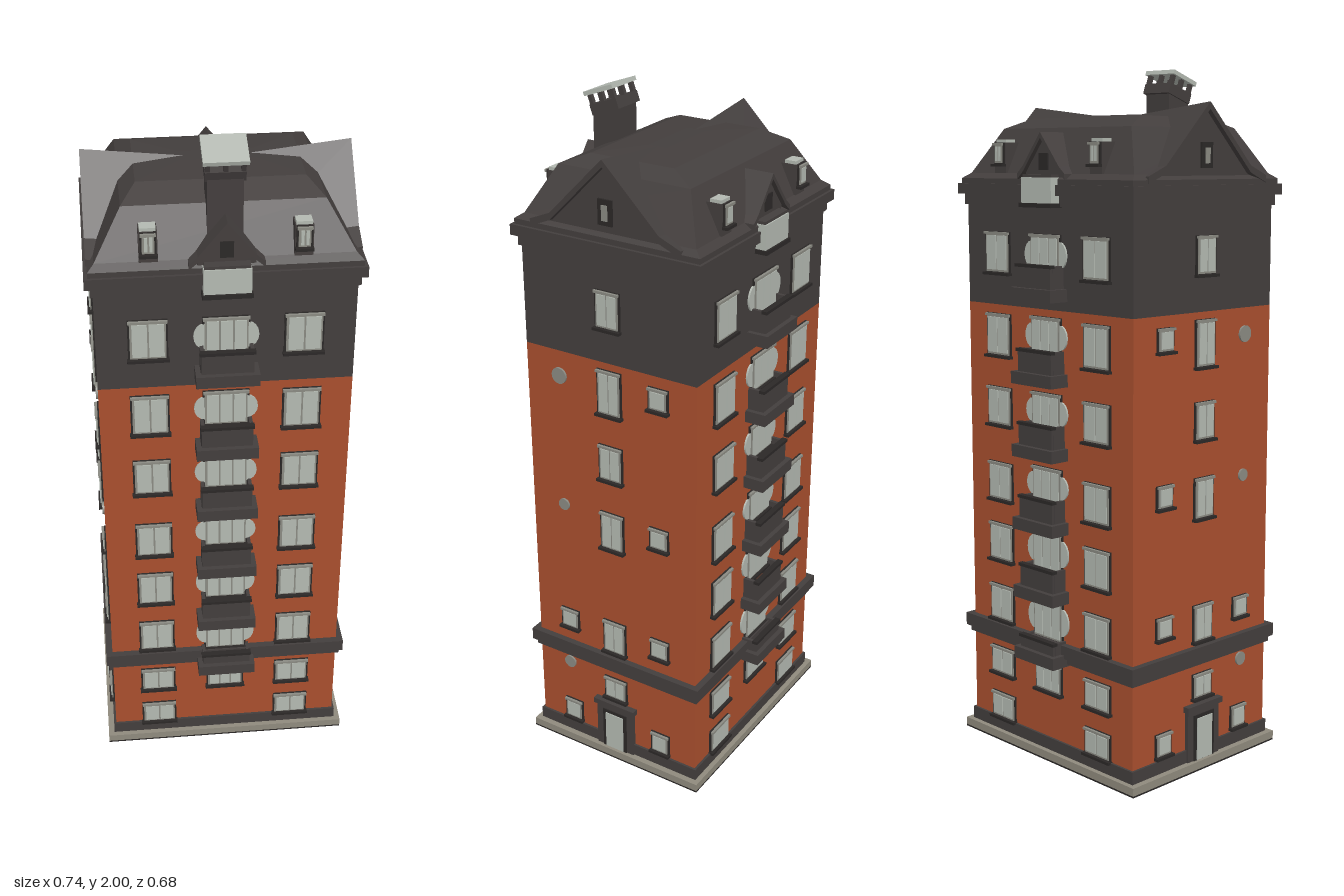
import * as THREE from 'three';

const mat = (name, color, side = THREE.FrontSide) => {
  const m = new THREE.MeshStandardMaterial({ color, side });
  m.name = name;
  return m;
};

export function createModel() {
  const brick = mat('brick', 0xa94f2e);
  const dark = mat('dark slate', 0x433e3d);
  const ink = mat('shadow trim', 0x2b2827);
  const glass = mat('pale glass', 0xb3b9b1);
  const stone = mat('base stone', 0x8f8a7d);
  const frame = mat('window frame', 0x8a8a82);

  const root = new THREE.Group();
  root.name = 'apartmentTower';

  const add = (parent, name, geo, material, x = 0, y = 0, z = 0) => {
    const m = new THREE.Mesh(geo, material);
    m.name = name;
    m.position.set(x, y, z);
    parent.add(m);
    return m;
  };
  // Box given by its x, y and z ranges
  const box = (parent, name, material, x0, x1, y0, y1, z0, z1) =>
    add(parent, name, new THREE.BoxGeometry(x1 - x0, y1 - y0, z1 - z0), material,
      (x0 + x1) / 2, (y0 + y1) / 2, (z0 + z1) / 2);
  // Centred storey block: half width, half depth, y range
  const block = (name, material, hx, hz, y0, y1) =>
    box(root, name, material, -hx, hx, y0, y1, -hz, hz);

  // Loft through rectangular rings [halfX, halfZ, y], capped on top
  const loft = (rings) => {
    const pos = [];
    const ring = ([x, z, y]) => [[x, y, z], [x, y, -z], [-x, y, -z], [-x, y, z]];
    const quad = (a, b, c, d) => pos.push(...a, ...b, ...c, ...a, ...c, ...d);
    for (let i = 0; i + 1 < rings.length; i++) {
      const a = ring(rings[i]), b = ring(rings[i + 1]);
      for (let k = 0; k < 4; k++) {
        const n = (k + 1) % 4;
        quad(a[k], a[n], b[n], b[k]);
      }
    }
    quad(...ring(rings[rings.length - 1]));
    const g = new THREE.BufferGeometry();
    g.setAttribute('position', new THREE.Float32BufferAttribute(pos, 3));
    g.computeVertexNormals();
    return g;
  };

  const extrude = (pts, z0, z1) => {
    const shape = new THREE.Shape(pts.map(([x, y]) => new THREE.Vector2(x, y)));
    const g = new THREE.ExtrudeGeometry(shape, { depth: z1 - z0, bevelEnabled: false });
    return g.translate(0, 0, z0);
  };

  // Symmetric outline from its right half, listed bottom to peak
  const mirrored = (half) => [...half, ...half.slice(0, -1).reverse().map(([x, y]) => [-x, y])];

  // Bargeboard strip following the same half outline
  const strip = (half, t) => {
    const top = mirrored(half);
    return [...top, ...top.slice().reverse().map(([x, y]) => [x, y - t])];
  };

  // Storeys, plinth, string course and cornice
  const HX = 0.343, HZ = 0.277;
  block('baseUnderside', ink, 0.368, 0.299, 0, 0.005);
  block('baseSlab', stone, 0.368, 0.299, 0.005, 0.028);
  block('plinth', dark, 0.35, 0.284, 0.028, 0.065);
  block('brickWalls', brick, HX, HZ, 0.065, 1.325);
  block('upperWalls', dark, HX, HZ, 1.325, 1.63);
  block('stringCourseLower', dark, 0.352, 0.287, 0.312, 0.33);
  block('stringCourseUpper', dark, 0.362, 0.297, 0.33, 0.368);
  block('corniceLower', dark, 0.35, 0.284, 1.61, 1.64);
  block('corniceUpper', dark, 0.364, 0.298, 1.64, 1.67);
  block('corniceCap', dark, 0.354, 0.29, 1.67, 1.685);

  // Hipped mansard roof
  add(root, 'mansardRoof', loft([
    [0.354, 0.29, 1.685], [0.336, 0.268, 1.7], [0.262, 0.205, 1.825],
    [0.22, 0.13, 1.855], [0.1, 0.03, 1.862],
  ]), dark);

  // Window: dark surround, pale panes, mullions and sill; w is half width
  const windowAt = (wall, u, y0, y1, w, z, panes = 2) => {
    const g = new THREE.Group();
    g.name = 'window';
    g.position.x = u;
    wall.add(g);
    box(g, 'surround', ink, -w - 0.005, w + 0.005, y0 - 0.005, y1 + 0.005, z - 0.004, z + 0.005);
    box(g, 'casing', frame, -w, w, y0, y1, z, z + 0.008);
    const m = 0.006, step = (2 * w - m) / panes;
    for (let i = 0; i < panes; i++) {
      const x = -w + m + i * step;
      box(g, 'pane', glass, x, x + step - m * 0.8, y0 + m, y1 - m, z + 0.004, z + 0.011);
    }
    box(g, 'sill', ink, -w - 0.008, w + 0.008, y0 - 0.01, y0 - 0.002, z, z + 0.016);
    box(g, 'lintel', frame, -w - 0.004, w + 0.004, y1 - 0.003, y1 + 0.004, z, z + 0.013);
  };

  // Balcony door with rounded side lights
  const balconyWindow = (wall, y0, y1, z) => {
    const h = y1 - y0, side = new THREE.CylinderGeometry(0.03, 0.03, 0.007, 16);
    side.rotateX(Math.PI / 2).scale(1, (h * 0.36) / 0.03, 1);
    for (const s of [-1, 1]) add(wall, 'roundedSideLight', side, glass, s * 0.057, (y0 + y1) / 2, z + 0.002);
    windowAt(wall, 0, y0, y1, 0.058, z, 3);
  };

  // Front and back walls
  const rows = [[1.42, 1.53], [1.18, 1.295], [0.975, 1.08], [0.75, 0.855],
    [0.565, 0.67], [0.38, 0.48], [0.21, 0.285], [0.07, 0.14]];
  const middle = [[1.425, 1.53], [1.2, 1.3], [0.985, 1.085], [0.775, 0.87], [0.575, 0.685], [0.37, 0.485]];
  const balconies = [1.352, 1.115, 0.905, 0.692, 0.49, 0.305];

  for (const back of [0, 1]) {
    const wall = new THREE.Group();
    wall.name = back ? 'backWall' : 'frontWall';
    wall.rotation.y = back * Math.PI;
    root.add(wall);
    for (const [a, b] of rows) for (const s of [-1, 1]) windowAt(wall, s * 0.206, a, b, 0.048, HZ);
    for (const [a, b] of middle) balconyWindow(wall, a, b, HZ);
    windowAt(wall, 0, 0.21, 0.29, 0.052, HZ, 3);

    // Balconies: slab, parapet and rail around an open floor
    balconies.forEach((y, i) => {
      const top = y + (i === 5 ? 0.07 : 0.098);
      box(wall, 'balconySlab', dark, -0.085, 0.085, y, y + 0.035, 0.27, 0.34);
      box(wall, 'balconyFront', dark, -0.07, 0.07, y + 0.035, top, 0.316, 0.326);
      box(wall, 'balconyRail', ink, -0.074, 0.074, top - 0.006, top + 0.003, 0.313, 0.33);
      for (const s of [-1, 1])
        box(wall, 'balconySide', dark, s * 0.066 - 0.005, s * 0.066 + 0.005, y + 0.035, top, 0.27, 0.318);
    });

    // Central gabled dormer with its glazed bay
    const half = [[0.098, 1.7], [0.075, 1.72], [0, 1.812]];
    add(wall, 'centreDormer', extrude([[-0.075, 1.66], [0.075, 1.66], [0.075, 1.71], [0, 1.8], [-0.075, 1.71]], 0.15, 0.283), dark);
    add(wall, 'centreDormerRoof', extrude(strip(half, 0.016), 0.15, 0.297), dark);
    box(wall, 'centreDormerOpening', ink, -0.018, 0.018, 1.71, 1.755, 0.28, 0.287);
    box(wall, 'bayGlass', glass, -0.062, 0.062, 1.62, 1.69, 0.27, 0.314);
    box(wall, 'bayCap', dark, -0.06, 0.06, 1.688, 1.698, 0.27, 0.31);
    box(wall, 'baySill', ink, -0.066, 0.066, 1.608, 1.62, 0.27, 0.32);

    // Small dormers
    for (const s of [-1, 1]) {
      const x = s * 0.198;
      box(wall, 'smallDormer', dark, x - 0.024, x + 0.024, 1.7, 1.785, 0.21, 0.274);
      box(wall, 'smallDormerRoof', glass, x - 0.021, x + 0.021, 1.785, 1.794, 0.236, 0.27);
      windowAt(wall, x, 1.728, 1.78, 0.016, 0.274);
    }
  }

  // Side walls, mirrored left and right
  const tall = [[1.43, 1.53], [1.175, 1.3], [0.97, 1.07], [0.745, 0.855], [0.385, 0.485], [0.215, 0.28]];
  const small = [[-0.158, 1.23, 1.288], [-0.158, 0.798, 0.855], [-0.158, 0.425, 0.48],
    [-0.158, 0.08, 0.14], [0.16, 0.42, 0.475], [0.158, 0.08, 0.14]];
  const dots = [[1.25, 0.024], [0.84, 0.018], [0.285, 0.02]];

  for (const s of [-1, 1]) {
    const wall = new THREE.Group();
    wall.name = s > 0 ? 'leftWall' : 'rightWall';
    wall.rotation.y = s * Math.PI / 2;
    root.add(wall);
    for (const [a, b] of tall) windowAt(wall, 0, a, b, 0.035, HX);
    for (const [z, a, b] of small) windowAt(wall, -s * z, a, b, 0.027, HX, 1);
    for (const [y, r] of dots) {
      const disc = new THREE.CylinderGeometry(r, r, 0.008, 16).rotateX(Math.PI / 2);
      add(wall, 'roundVent', disc, frame, -s * 0.167, y, HX + 0.002);
    }

    // Entrance
    box(wall, 'doorSurround', dark, -0.065, 0.065, 0.028, 0.185, HX - 0.01, HX + 0.012);
    box(wall, 'doorHood', dark, -0.072, 0.072, 0.18, 0.197, HX - 0.01, HX + 0.02);
    box(wall, 'doorRecess', ink, -0.042, 0.042, 0.028, 0.165, HX, HX + 0.015);
    box(wall, 'door', glass, -0.031, 0.031, 0.03, 0.155, HX + 0.01, HX + 0.018);

    // End gable whose ridge dips toward the middle of the roof
    const half = [[0.235, 1.695], [0.17, 1.722], [0, 1.892]];
    const dip = (g) => {
      const p = g.attributes.position;
      for (let i = 0; i < p.count; i++) p.setY(i, p.getY(i) - (0.357 - p.getZ(i)) * 0.11);
      g.computeVertexNormals();
      return g;
    };
    add(wall, 'endGable', dip(extrude(
      [[-0.22, 1.67], [0.22, 1.67], [0.22, 1.69], [0.165, 1.71], [0, 1.872], [-0.165, 1.71], [-0.22, 1.69]],
      0.08, 0.342)), dark);
    add(wall, 'endGableRoof', dip(extrude(strip(half, 0.02), 0.08, 0.357)), dark);
    box(wall, 'gableOpening', ink, -0.022, 0.022, 1.715, 1.785, 0.338, 0.348);
    box(wall, 'gablePane', frame, -0.009, 0.009, 1.728, 1.77, 0.342, 0.351);
  }

  // Chimney with a raised, forward-tilted cap
  const chimney = new THREE.Group();
  chimney.name = 'chimney';
  root.add(chimney);
  box(chimney, 'chimneyShaft', dark, -0.046, 0.046, 1.75, 1.93, 0.163, 0.243);
  const cap = new THREE.Group();
  cap.name = 'chimneyCap';
  cap.position.set(0, 1.935, 0.205);
  cap.rotation.x = 0.34;
  chimney.add(cap);
  box(cap, 'chimneyCollar', dark, -0.052, 0.052, -0.022, 0.008, -0.046, 0.046);
  for (const x of [-0.045, 0, 0.045]) for (const z of [-0.038, 0, 0.038])
    box(cap, 'capPost', dark, x - 0.006, x + 0.006, 0.005, 0.036, z - 0.006, z + 0.006);
  box(cap, 'capSlab', glass, -0.058, 0.058, 0.034, 0.046, -0.05, 0.05);

  return root;
}
